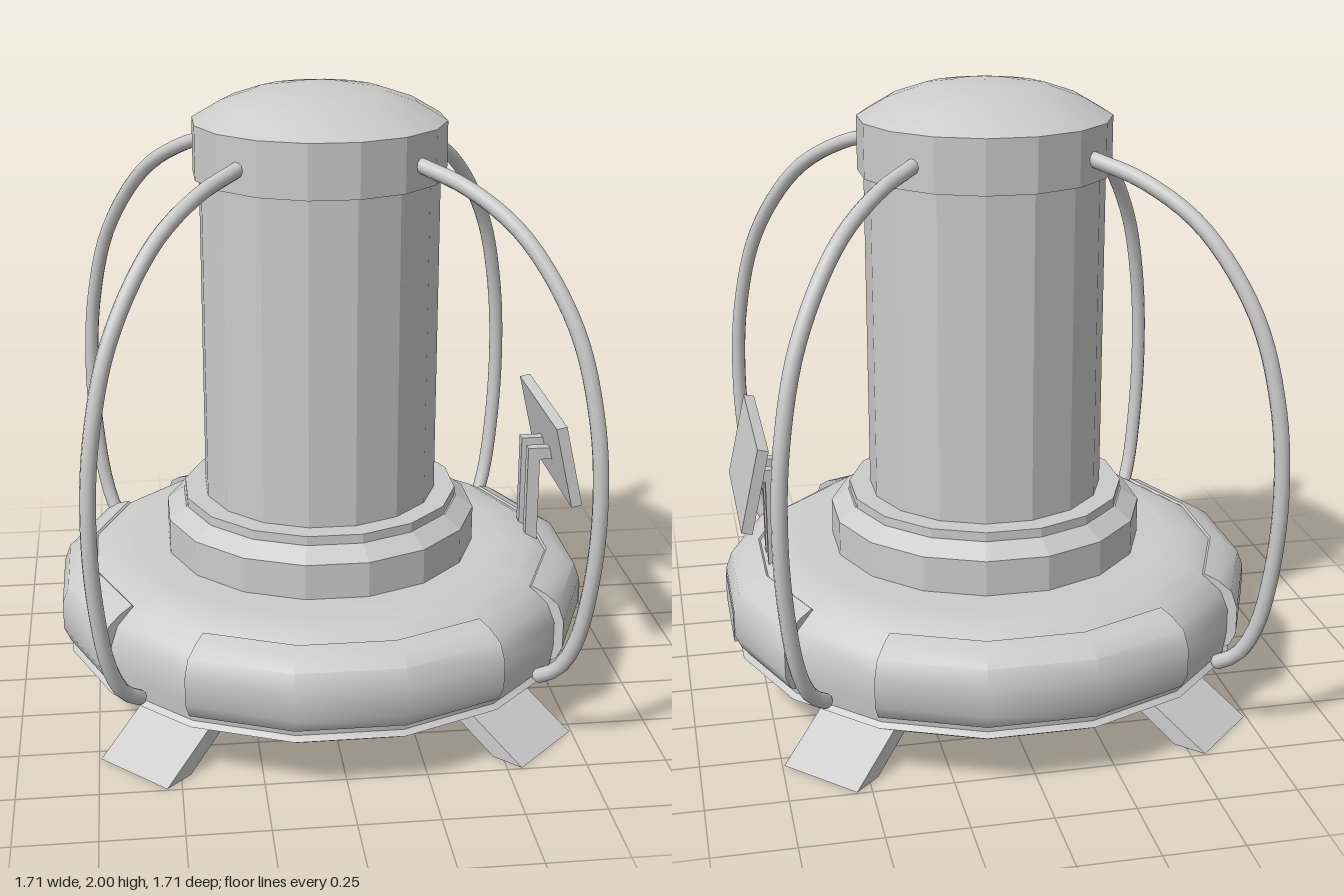
import * as THREE from 'three';
import { toCreasedNormals, mergeGeometries } from 'three/addons/utils/BufferGeometryUtils.js';

const SIDES = 16;
const STEP = (Math.PI * 2) / SIDES;
const K = 1 / Math.cos(STEP / 2); // flat-to-flat radius -> corner radius

const grey = new THREE.MeshStandardMaterial({ color: 0xcccccc, side: THREE.DoubleSide });
const faceted = new THREE.MeshStandardMaterial({ color: 0xcccccc, side: THREE.DoubleSide, flatShading: true });

const points = (list) => list.map(([r, y]) => new THREE.Vector2(r * K, y));

function add(parent, name, geometry, material = grey) {
  const mesh = new THREE.Mesh(geometry, material);
  mesh.name = name;
  parent.add(mesh);
  return mesh;
}

// Polygonal turned part with flats facing the axes; normals crease past the given angle
function turned(profile, crease = 0.5) {
  return toCreasedNormals(new THREE.LatheGeometry(points(profile), SIDES, STEP / 2), crease);
}

// Three-sided padded segment, closed at both ends
function bumperGeometry() {
  const profile = [[0.72, 0.2], [0.79, 0.2], [0.835, 0.225], [0.855, 0.27], [0.855, 0.36],
    [0.835, 0.415], [0.79, 0.445], [0.745, 0.462], [0.72, 0.44]];
  const half = STEP * 1.5;
  const pad = new THREE.LatheGeometry(points(profile), 3, -half, half * 2);
  const ends = [-half, half].map((a) =>
    new THREE.ShapeGeometry(new THREE.Shape(points(profile))).rotateY(a - Math.PI / 2));
  return toCreasedNormals(mergeGeometries([pad, ...ends]), 0.65);
}

export function createModel() {
  const model = new THREE.Group();
  model.name = 'domedColumnMachine';

  // Rounded base dish
  add(model, 'base', turned([[0, 0.1], [0.67, 0.1], [0.73, 0.125], [0.83, 0.185], [0.815, 0.2],
    [0.825, 0.27], [0.825, 0.35], [0.8, 0.41], [0.75, 0.45], [0.69, 0.485], [0.6, 0.49], [0.4, 0.49]], 0.65));

  // Stepped plinth and column
  add(model, 'plinth', turned([[0.5, 0.47], [0.5, 0.605], [0.445, 0.645], [0.36, 0.645]], 0.1), faceted);
  add(model, 'columnFoot', turned([[0.44, 0.64], [0.44, 0.675], [0.36, 0.675]], 0.1), faceted);
  add(model, 'column', turned([[0.373, 0.66], [0.373, 1.74]], 0.1), faceted);
  add(model, 'collar', turned([[0.36, 1.72], [0.392, 1.72], [0.392, 1.89]], 0.1), faceted);
  add(model, 'dome', turned([[0.392, 1.89], [0.3, 1.945], [0.2, 1.98], [0.1, 1.995], [0, 2]], 0.6));

  // Four bumpers on the axes
  const bumper = bumperGeometry();
  for (let i = 0; i < 4; i++) {
    add(model, 'bumper', bumper).rotation.y = (i * Math.PI) / 2;
  }

  // Splayed foot and bowed pipe, repeated on the diagonals
  const footShape = new THREE.Shape([[0.806, 0], [0.912, 0], [0.64, 0.17], [0.54, 0.17]]
    .map(([r, y]) => new THREE.Vector2(r, y)));
  const foot = new THREE.ExtrudeGeometry(footShape, { depth: 0.28, bevelEnabled: false }).translate(0, 0, -0.14);

  const path = [[0.27, 1.795], [0.4, 1.745], [0.54, 1.63], [0.67, 1.39], [0.73, 1.12], [0.747, 0.85],
    [0.735, 0.6], [0.705, 0.4], [0.665, 0.295], [0.62, 0.25]]
    .map(([x, y]) => new THREE.Vector3(x * Math.SQRT2, y, 0));
  const pipe = new THREE.TubeGeometry(new THREE.CatmullRomCurve3(path), 40, 0.024, 10);

  for (let i = 0; i < 4; i++) {
    const corner = new THREE.Group();
    corner.name = 'corner';
    corner.rotation.y = Math.PI / 4 + (i * Math.PI) / 2;
    add(corner, 'foot', foot, faceted);
    add(corner, 'pipe', pipe);
    for (const end of [path[0], path[path.length - 1]]) {
      add(corner, 'pipeEnd', new THREE.SphereGeometry(0.024, 10, 6)).position.copy(end);
    }
    model.add(corner);
  }

  // Tilted control panel on two bracketed posts, on the left side
  const box = (parent, name, size, at) => {
    const mesh = add(parent, name, new THREE.BoxGeometry(...size));
    mesh.position.set(...at);
    return mesh;
  };
  const controls = new THREE.Group();
  controls.name = 'controlPanel';
  box(controls, 'screen', [0.035, 0.278, 0.535], [0.778, 0.797, 0]).rotation.z = 0.22;
  for (const z of [-0.05, 0.05]) {
    box(controls, 'post', [0.04, 0.34, 0.034], [0.71, 0.62, z]);
    box(controls, 'bracket', [0.06, 0.04, 0.034], [0.75, 0.77, z]);
  }
  model.add(controls);

  // Flat plate on the bumper below the panel
  box(model, 'plate', [0.03, 0.095, 0.34], [0.843, 0.297, 0]);

  return model;
}
